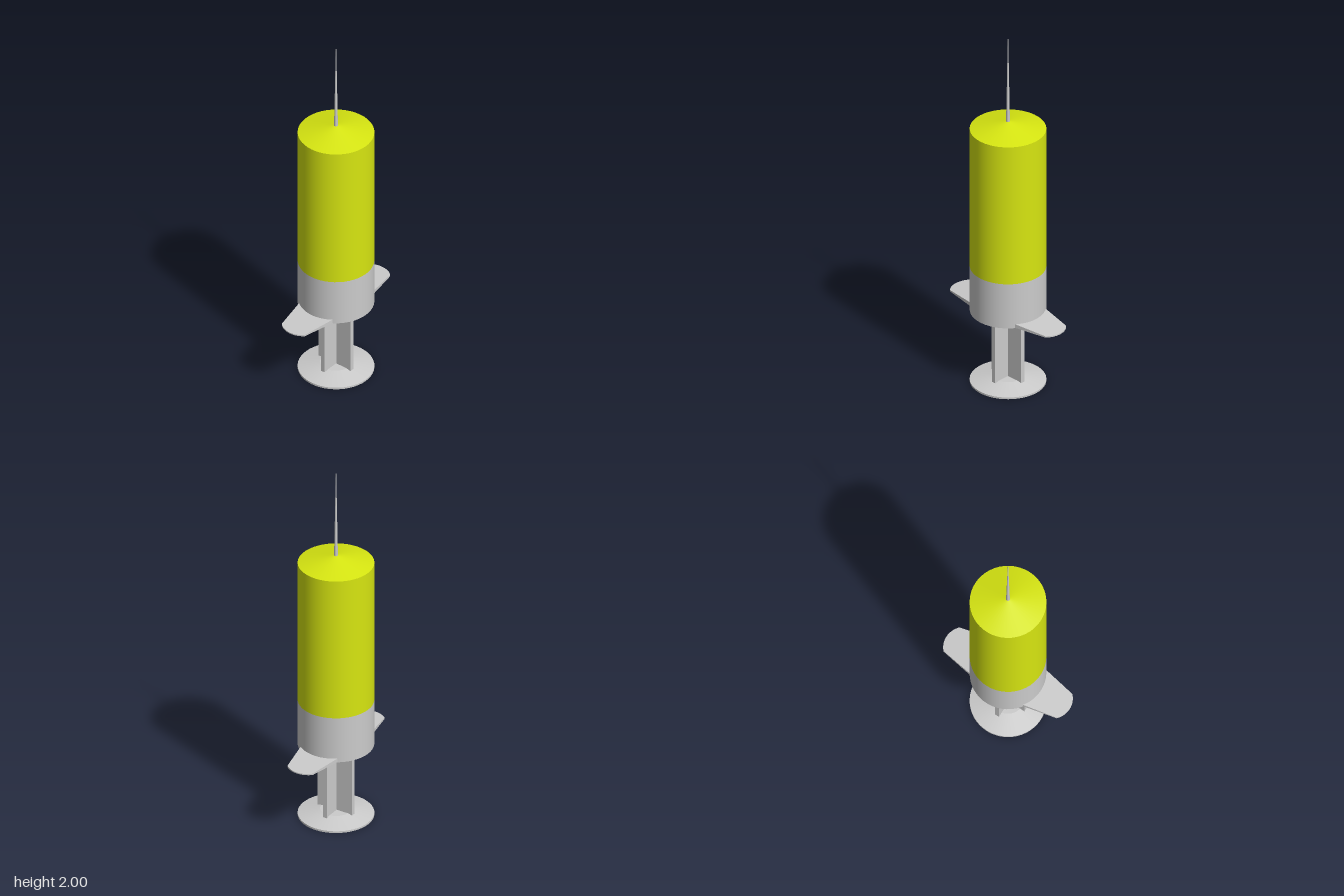
import * as THREE from 'three';

const R = 0.193;      // barrel radius
const SIDES = 48;
const V = (x, y) => new THREE.Vector2(x, y);

export function createModel() {
  const model = new THREE.Group();
  const grey = new THREE.MeshStandardMaterial({ color: 0xcccccc });
  const greyOpen = new THREE.MeshStandardMaterial({ color: 0xcccccc, side: THREE.DoubleSide });
  const yellow = new THREE.MeshStandardMaterial({ color: 0xd7e611 });

  const add = (name, geometry, material, y = 0) => {
    const mesh = new THREE.Mesh(geometry, material);
    mesh.name = name;
    mesh.position.y = y;
    model.add(mesh);
    return mesh;
  };
  // Upright cylinder or cone between two heights
  const tube = (rTop, rBottom, y0, y1, open = false, sides = SIDES) =>
    new THREE.CylinderGeometry(rTop, rBottom, y1 - y0, sides, 1, open).translate(0, (y0 + y1) / 2, 0);

  // Barrel: open lower sleeve, filled upper part and shallow conical shoulder
  add('barrelSleeve', tube(R, R, 0.41, 0.665, true), greyOpen);
  add('liquid', tube(R, R, 0.665, 1.458), yellow);
  add('shoulder', tube(0.008, R, 1.458, 1.5, true), yellow);

  // Needle tapering to a fine point
  add('needle', tube(0.0008, 0.01, 1.495, 2, false, 16), grey);

  // Finger flanges: wings with rounded ends that thin towards the tip
  const wing = new THREE.Shape();
  wing.moveTo(0.11, 0.158);
  wing.lineTo(0.075, 0.335);
  const half = Math.atan2(0.075, 0.335 - 0.256);
  wing.absarc(0, 0.256, 0.109, Math.PI / 2 - half, Math.PI / 2 + half, false);
  wing.lineTo(-0.11, 0.158);
  const root = Math.atan2(0.158, 0.11);
  wing.absarc(0, 0, 0.1925, Math.PI - root, root, true);
  const wingGeometry = new THREE.ExtrudeGeometry(wing, { depth: 1, bevelEnabled: false, curveSegments: 16 });
  wingGeometry.rotateX(-Math.PI / 2);
  const p = wingGeometry.attributes.position;
  for (let i = 0; i < p.count; i++) {
    const t = (Math.abs(p.getZ(i)) - 0.158) / 0.207;
    p.setY(i, p.getY(i) * THREE.MathUtils.lerp(0.021, 0.006, t));
  }
  wingGeometry.computeVertexNormals();
  add('backFlange', wingGeometry, grey, 0.411);
  add('frontFlange', wingGeometry, grey, 0.411).rotation.y = Math.PI;

  // Plunger rod: two crossed fins running up to the filled part
  const cross = new THREE.Shape();
  const a = 0.104, b = 0.012;
  cross.setFromPoints([
    V(a, -b), V(a, b), V(b, b), V(b, a), V(-b, a), V(-b, b),
    V(-a, b), V(-a, -b), V(-b, -b), V(-b, -a), V(b, -a), V(b, -b),
  ]);
  const rod = new THREE.ExtrudeGeometry(cross, { depth: 0.645, bevelEnabled: false });
  add('plungerRod', rod.rotateX(-Math.PI / 2), grey, 0.02);

  // Thumb rest: thin rim with a sloped upper face
  add('thumbRestRim', tube(R, R, 0, 0.01), grey);
  add('thumbRestSlope', tube(0.08, R, 0.01, 0.034), grey);

  return model;
}
